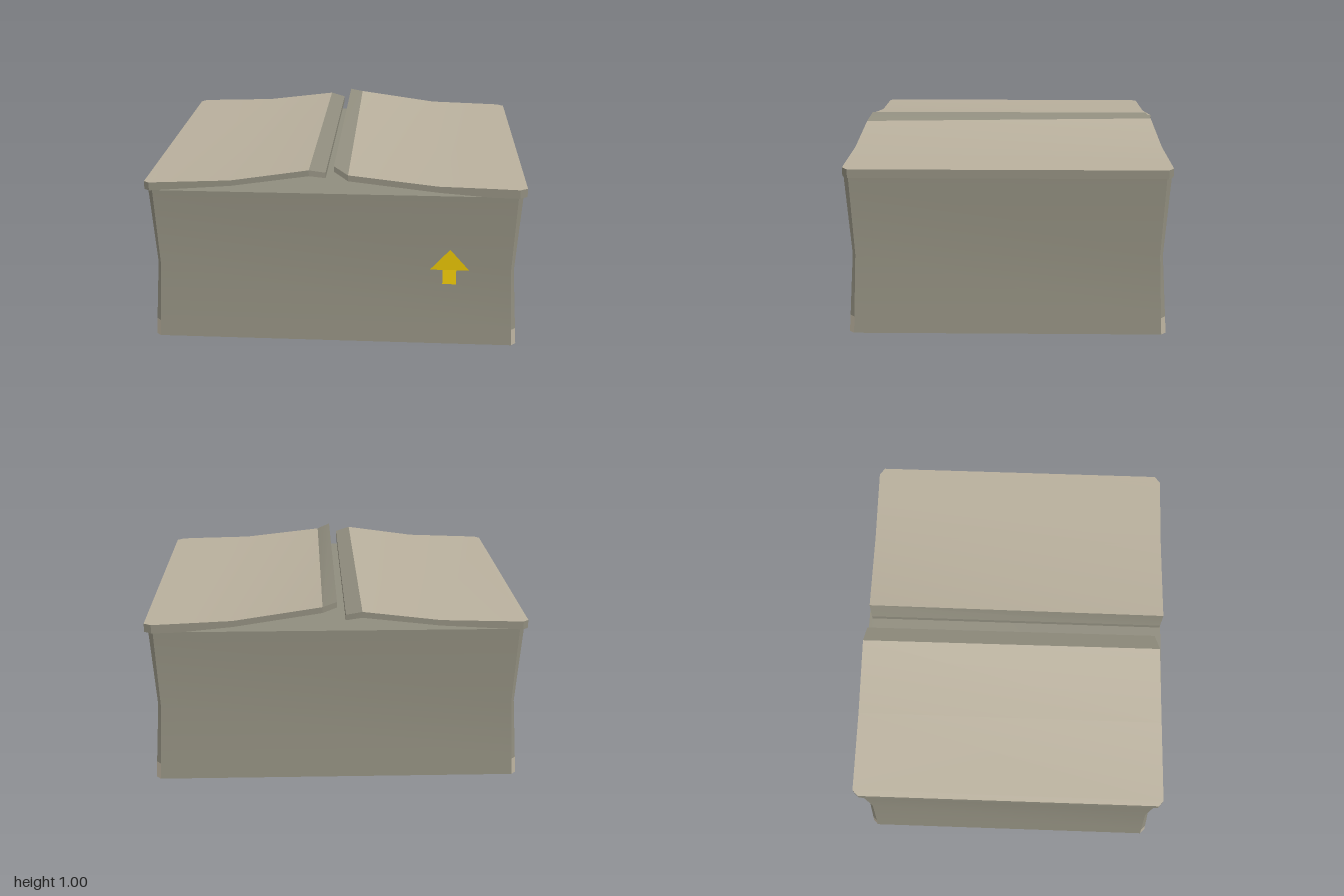
import * as THREE from 'three';
import { toCreasedNormals } from 'three/addons/utils/BufferGeometryUtils.js';

// Closed solid through a list of cross-section rings; small bends shade smooth.
// pick(i, k) gives the material slot of side k between rings i and i + 1.
function loft(rings, pick, startSlot = 0) {
  const slots = [[], [], []];
  const tri = (slot, ...pts) => pts.forEach((p) => slots[slot].push(...p));
  const cap = (slot, r) => {
    for (let k = 1; k < r.length - 1; k++) tri(slot, r[0], r[k], r[k + 1]);
  };
  for (let i = 0; i < rings.length - 1; i++) {
    const a = rings[i], b = rings[i + 1], n = a.length;
    for (let k = 0; k < n; k++) {
      const m = (k + 1) % n;
      tri(pick(i, k), a[k], b[k], b[m]);
      tri(pick(i, k), a[k], b[m], a[m]);
    }
  }
  cap(startSlot, rings[0]);
  cap(0, [...rings[rings.length - 1]].reverse());
  const g = new THREE.BufferGeometry();
  g.setAttribute('position', new THREE.Float32BufferAttribute(slots.flat(), 3));
  let start = 0;
  slots.forEach((s, slot) => {
    if (s.length) g.addGroup(start, s.length / 3, slot);
    start += s.length / 3;
  });
  return toCreasedNormals(g, 0.24);
}

// Horizontal rectangle with cut corners
function bodyRing(y, x, z, c) {
  return [[x, z - c], [x - c, z], [c - x, z], [-x, z - c], [-x, c - z], [c - x, -z], [x - c, -z], [x, c - z]]
    .map(([px, pz]) => [px, y, pz]);
}

// Flap sections: x, top y at front, top y at back, front z, back z, thickness.
// The top is pale except on the bent lip.
function flapGeometry(sections, lip) {
  const rings = sections.map(([x, yf, yb, zf, zb, t]) => [
    [x, yf, zf], [x, yb, zb], [x, yb - t, zb], [x, yf - t, zf],
  ]);
  return loft(rings, (i, k) => (k === 0 && i !== lip ? 1 : 0));
}

export function createModel() {
  const group = new THREE.Group();
  const material = (name, color) => {
    const m = new THREE.MeshStandardMaterial({ color });
    m.name = name;
    return m;
  };
  const cardboard = material('cardboard', 0x908d7e);
  const paleCardboard = material('paleCardboard', 0xb9b09d);
  const darkCardboard = material('darkCardboard', 0x6c675c);
  const yellow = material('yellow', 0xffd806);
  const boxMaterials = [cardboard, paleCardboard, darkCardboard];
  const add = (name, geometry, mat) => {
    const mesh = new THREE.Mesh(geometry, mat);
    mesh.name = name;
    group.add(mesh);
  };

  // Box body, pinched at mid height, with pale corner feet and a dark underside
  const waistY = 0.425, waistZ = 0.807, endZ = 0.835;
  add('boxBody', loft([
    bodyRing(0, 0.985, endZ, 0.026),
    bodyRing(0.09, 0.9786, 0.829, 0.0239),
    bodyRing(waistY, 0.955, waistZ, 0.016),
    bodyRing(0.85, 0.98, endZ, 0.026),
  ], (i, k) => (i === 0 && k % 2 === 0 ? 1 : 0), 2), boxMaterials);

  // Bent lid flaps
  add('rightFlap', flapGeometry([
    [-1, 0.89, 0.89, 0.81, -0.81, 0.043],
    [-0.97, 0.892, 0.892, 0.835, -0.84, 0.044],
    [-0.54, 0.91, 0.905, 0.828, -0.842, 0.03],
    [-0.13, 0.97, 0.955, 0.816, -0.845, 0.032],
    [-0.045, 0.95, 0.935, 0.79, -0.83, 0.03],
  ], 3), boxMaterials);
  add('leftFlap', flapGeometry([
    [0, 0.995, 0.995, 0.815, -0.8, 0.03],
    [0.075, 0.955, 0.975, 0.84, -0.822, 0.032],
    [0.54, 0.903, 0.908, 0.838, -0.833, 0.033],
    [0.82, 0.897, 0.898, 0.839, -0.84, 0.048],
    [0.96, 0.893, 0.893, 0.84, -0.843, 0.046],
    [1, 0.892, 0.892, 0.81, -0.815, 0.045],
  ], 0), boxMaterials);

  // Arrow mark following the slope of the front panel
  const plate = (name, points) => {
    const g = new THREE.ShapeGeometry(new THREE.Shape(points.map(([x, y]) => new THREE.Vector2(x, y))));
    const p = g.attributes.position;
    for (let i = 0; i < p.count; i++) {
      const slope = Math.abs(p.getY(i) - waistY) / waistY;
      p.setZ(i, waistZ + (endZ - waistZ) * slope + 0.004);
    }
    g.computeVertexNormals();
    add(name, g, yellow);
  };
  plate('arrowHead', [[0.51, waistY], [0.718, waistY], [0.614, 0.545]]);
  plate('arrowStem', [[0.578, 0.345], [0.65, 0.345], [0.65, waistY], [0.578, waistY]]);

  return group;
}
